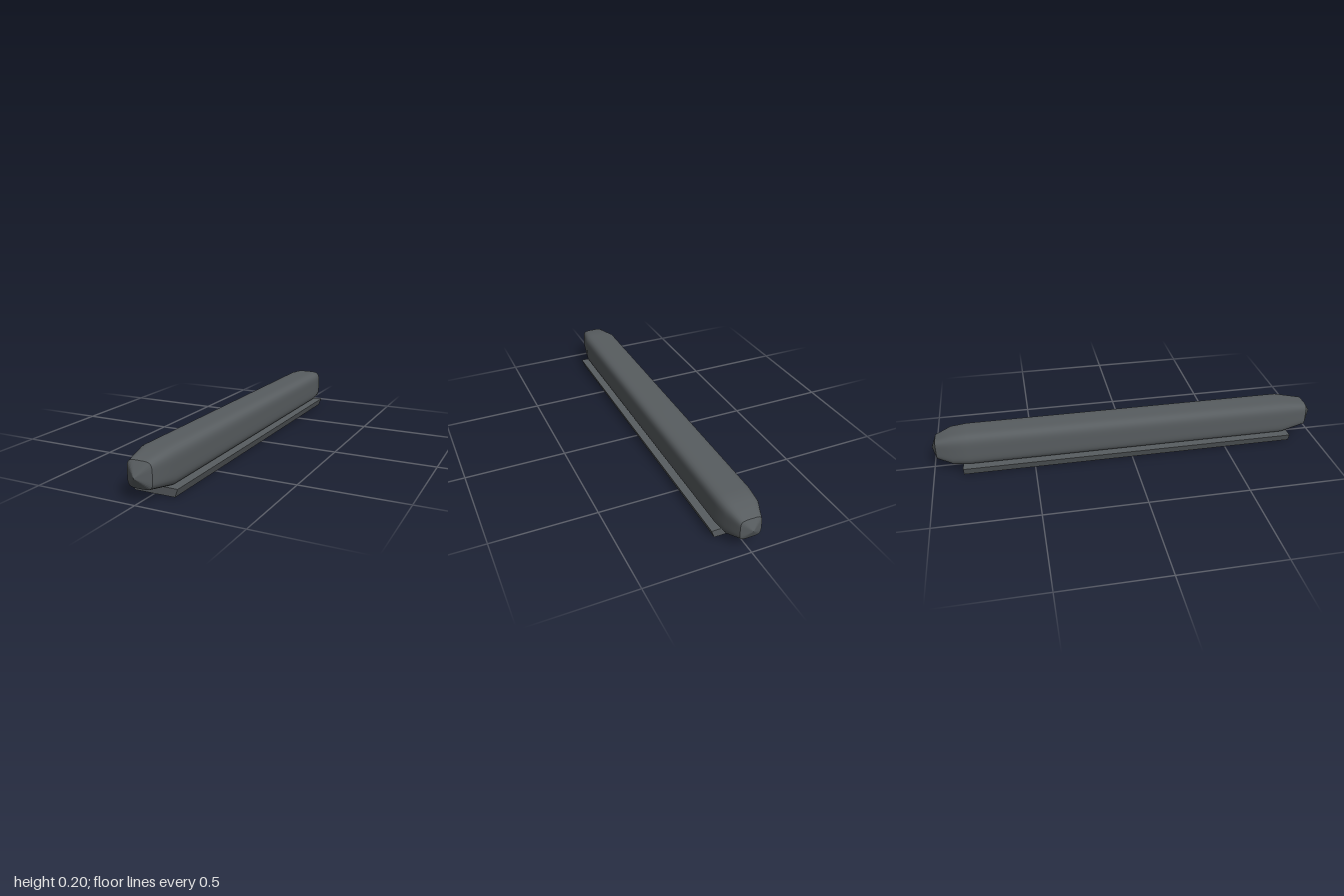
import * as THREE from 'three';

const SIDES = 48;
const CENTRE_Y = 0.117;

// Point on a rounded-square (superellipse) section
function sectionPoint(i, halfW, halfH, z) {
  const a = (i / SIDES) * Math.PI * 2;
  const c = Math.cos(a), s = Math.sin(a);
  const r = Math.pow(Math.abs(c) ** 4.8 + Math.abs(s) ** 4.8, -1 / 4.8);
  return [halfW * r * c, CENTRE_Y + halfH * r * s, z];
}

// Smooth skin through sections [z, halfWidth, halfHeight] ordered from back to front
function loft(sections) {
  const pos = [], index = [];
  sections.forEach(([z, w, h], j) => {
    for (let i = 0; i < SIDES; i++) {
      pos.push(...sectionPoint(i, w, h, z));
      if (j === 0) continue;
      const n = (i + 1) % SIDES;
      const a = (j - 1) * SIDES + i, b = (j - 1) * SIDES + n;
      const c = j * SIDES + i, d = j * SIDES + n;
      index.push(a, b, d, a, d, c);
    }
  });
  const g = new THREE.BufferGeometry();
  g.setAttribute('position', new THREE.Float32BufferAttribute(pos, 3));
  g.setIndex(index);
  g.computeVertexNormals();
  return g;
}

// Faceted point closing an end section
function tip([z, w, h], apexZ) {
  const pos = [];
  for (let i = 0; i < SIDES; i++) {
    const p = sectionPoint(i, w, h, z), q = sectionPoint(i + 1, w, h, z);
    const apex = [0, CENTRE_Y - 0.002, apexZ];
    pos.push(...(apexZ > z ? [...p, ...q, ...apex] : [...q, ...p, ...apex]));
  }
  const g = new THREE.BufferGeometry();
  g.setAttribute('position', new THREE.Float32BufferAttribute(pos, 3));
  g.computeVertexNormals();
  return g;
}

export function createModel() {
  const group = new THREE.Group();
  const darkGrey = new THREE.MeshStandardMaterial({ color: 0x585d60 });
  darkGrey.name = 'darkGrey';

  const add = (name, geometry) => {
    const mesh = new THREE.Mesh(geometry, darkGrey);
    mesh.name = name;
    group.add(mesh);
  };

  // Long rounded-square body, tapered at both ends
  const sections = [
    [-0.978, 0.051, 0.05],
    [-0.9, 0.08, 0.079],
    [-0.82, 0.088, 0.085],
    [0.82, 0.088, 0.085],
    [0.956, 0.061, 0.061],
  ];
  add('body', loft(sections));
  add('frontTip', tip(sections[4], 1));
  add('backTip', tip(sections[0], -1));

  // Flared base plate
  const profile = new THREE.Shape([
    new THREE.Vector2(-0.1, 0),
    new THREE.Vector2(0.1, 0),
    new THREE.Vector2(0.114, 0.038),
    new THREE.Vector2(-0.114, 0.038),
  ]);
  const base = new THREE.ExtrudeGeometry(profile, { depth: 1.71, bevelEnabled: false });
  base.translate(0, 0, -0.855);
  add('basePlate', base);

  return group;
}
